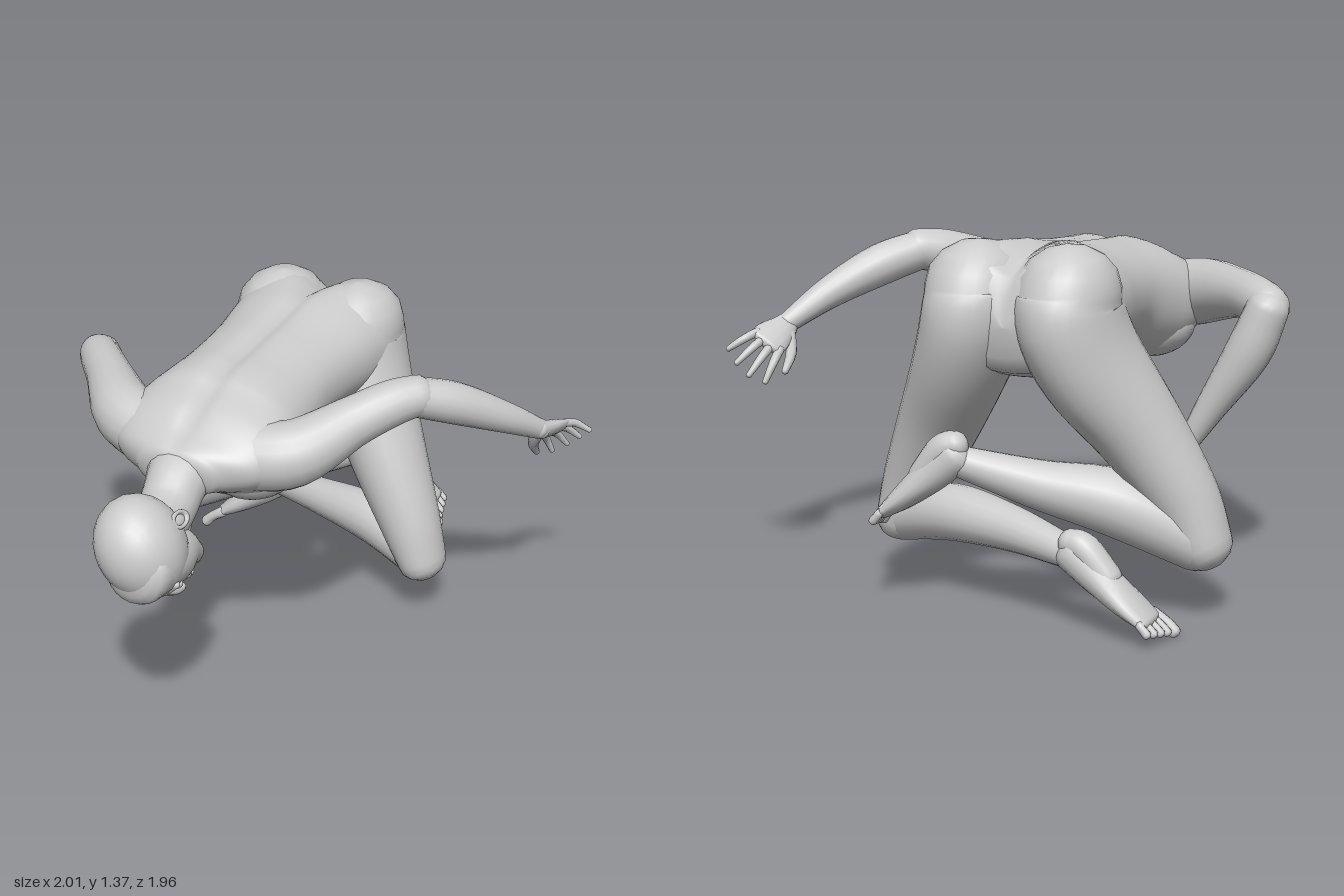
import * as THREE from 'three';

const mat = new THREE.MeshStandardMaterial({ color: 0xcccccc });
const V = (x, y, z) => new THREE.Vector3(x, y, z);
const soften = (v, p) => Math.sign(v) * Math.abs(v) ** p;

// Rounded loft: stations are [x, y, z, halfWidth, halfDepth]; width follows the side vector
function loft(name, stations, side, { seg = 18, steps = 5, cap = 0.8, power = 1, shape } = {}) {
  const path = new THREE.CatmullRomCurve3(stations.map(s => V(s[0], s[1], s[2])), false, 'catmullrom');
  const size = new THREE.CatmullRomCurve3(stations.map(s => V(s[3], s[4] ?? s[3], 0)), false, 'catmullrom');
  const rings = [];
  const addRing = (t, shift, k) => {
    const T = path.getTangent(t), r = size.getPoint(t);
    const U = side.clone().addScaledVector(T, -side.dot(T)).normalize();
    const W = T.clone().cross(U);
    const c = path.getPoint(t).addScaledVector(T, shift * cap * Math.min(r.x, r.y));
    const ring = [];
    for (let j = 0; j < seg; j++) {
      const a = j / seg * Math.PI * 2;
      const p = c.clone().addScaledVector(U, soften(Math.cos(a), power) * r.x * k)
        .addScaledVector(W, soften(Math.sin(a), power) * r.y * k);
      if (shape) shape(p);
      ring.push(p);
    }
    rings.push(ring);
  };
  for (let i = 4; i > 0; i--) addRing(0, -Math.sin(i * Math.PI / 8), Math.cos(i * Math.PI / 8) + 1e-3);
  const n = (stations.length - 1) * steps;
  for (let i = 0; i <= n; i++) addRing(i / n, 0, 1);
  for (let i = 1; i <= 4; i++) addRing(1, Math.sin(i * Math.PI / 8), Math.cos(i * Math.PI / 8) + 1e-3);
  const index = [];
  for (let i = 0; i < rings.length - 1; i++) for (let j = 0; j < seg; j++) {
    const a = i * seg + j, b = i * seg + (j + 1) % seg;
    index.push(a, b, b + seg, a, b + seg, a + seg);
  }
  const g = new THREE.BufferGeometry().setFromPoints(rings.flat());
  g.setIndex(index);
  g.computeVertexNormals();
  const m = new THREE.Mesh(g, mat);
  m.name = name;
  return m;
}

function ellipsoid(name, p, r) {
  const g = new THREE.SphereGeometry(1, 24, 16).scale(...r);
  const m = new THREE.Mesh(g, mat);
  m.position.set(...p);
  m.name = name;
  return m;
}

// Hand with palm, four spread fingers and a thumb on the +across side
function hand(name, wrist, dir, across, curl) {
  const g = new THREE.Group();
  g.name = name;
  const d = dir.clone().normalize();
  const w = across.clone().addScaledVector(d, -across.dot(d)).normalize();
  const n = d.clone().cross(w).multiplyScalar(curl);
  const at = (a, b, c = 0) => wrist.clone().addScaledVector(d, a).addScaledVector(w, b).addScaledVector(n, c).toArray();
  g.add(loft('palm', [[...at(-0.03, 0), 0.038, 0.035], [...at(0.04, 0.004), 0.058, 0.032],
    [...at(0.1, 0), 0.072, 0.027], [...at(0.145, 0), 0.07, 0.022]], w, { seg: 14, steps: 3 }));
  [[0.055, 0.115], [0.02, 0.14], [-0.018, 0.13], [-0.053, 0.1]].forEach(([o, len]) => {
    g.add(loft('finger', [[...at(0.13, o), 0.018], [...at(0.145 + len * 0.45, o * 1.35, 0.012), 0.016],
      [...at(0.14 + len, o * 1.75, 0.055), 0.011]], w, { seg: 8, steps: 3 }));
  });
  g.add(loft('thumb', [[...at(0.03, 0.03), 0.027], [...at(0.085, 0.09, 0.02), 0.022],
    [...at(0.16, 0.122, 0.045), 0.013]], n.clone().normalize(), { seg: 8, steps: 3 }));
  return g;
}

// Foot lying sole up, toes along dir, big toe towards +z
function foot(name, ankle, dir) {
  const g = new THREE.Group();
  g.name = name;
  const d = dir.clone().normalize(), z = V(0, 0, 1);
  const sole = V(-d.y, d.x, 0).multiplyScalar(Math.sign(d.x));
  const at = (a, b, c = 0) => ankle.clone().addScaledVector(d, a).addScaledVector(sole, b).addScaledVector(z, c).toArray();
  g.add(loft('instep', [[...at(-0.02, 0.005), 0.06, 0.07], [...at(0.1, 0), 0.07, 0.066],
    [...at(0.24, -0.005), 0.088, 0.048], [...at(0.34, -0.005), 0.09, 0.028]], z, { seg: 16 }));
  g.add(loft('heel', [[...at(-0.05, 0.03), 0.048, 0.05], [...at(0.01, 0.048), 0.058, 0.056],
    [...at(0.14, 0.018), 0.058, 0.052]], z));
  for (let i = 0; i < 5; i++) {
    const o = 0.068 - i * 0.035, r = i ? 0.017 : 0.025, end = 0.43 - i * 0.014;
    g.add(loft('toe', [[...at(0.33, -0.005, o), r], [...at(end - 0.04, -0.004, o * 1.1), r * 0.9],
      [...at(end, -0.012, o * 1.12), r]], z, { seg: 8, steps: 3 }));
  }
  return g;
}

// Head in its own frame: +y to the crown, +z to the face
function head() {
  const g = new THREE.Group();
  g.name = 'head';
  const X = V(1, 0, 0);
  g.add(ellipsoid('skull', [0, 0.015, 0], [0.168, 0.175, 0.2]));
  g.add(loft('face', [[0, 0.09, 0.06, 0.138, 0.132], [0, -0.04, 0.085, 0.138, 0.117],
    [0, -0.14, 0.1, 0.112, 0.1], [0, -0.215, 0.14, 0.07, 0.055]], X, { seg: 24, cap: 0.5 }));
  g.add(loft('nose', [[0, 0.02, 0.185, 0.016], [0, -0.045, 0.212, 0.022], [0, -0.075, 0.217, 0.034, 0.022]], X, { seg: 10 }));
  g.add(loft('brow', [[-0.085, 0.03, 0.17, 0.016], [0, 0.025, 0.19, 0.015], [0.085, 0.03, 0.17, 0.016]], V(0, 1, 0), { seg: 10 }));
  [-0.126, -0.144].forEach((y, i) => g.add(ellipsoid(i ? 'lowerLip' : 'upperLip', [0, y, 0.193], [0.042, 0.011, 0.018])));
  for (const s of [-1, 1]) {
    g.add(ellipsoid('eye', [s * 0.058, -0.008, 0.18], [0.026, 0.014, 0.02]));
    const ear = new THREE.Group();
    ear.name = 'ear';
    const rim = new THREE.Mesh(new THREE.TorusGeometry(0.033, 0.01, 8, 18).scale(0.8, 1.35, 1), mat);
    rim.name = 'earRim';
    ear.add(rim, ellipsoid('earBowl', [0, 0, -0.008], [0.026, 0.042, 0.012]));
    ear.position.set(s * 0.152, -0.065, -0.035);
    ear.rotation.y = s * (Math.PI / 2 + 0.1);
    g.add(ear);
  }
  // face turned down and a little to the left
  const face = V(0.46, -0.888, 0).normalize(), up = V(0, 0, 1);
  g.quaternion.setFromRotationMatrix(new THREE.Matrix4().makeBasis(up.clone().cross(face), up, face));
  g.position.set(-0.142, 0.855, 0.79);
  return g;
}

export function createModel() {
  const model = new THREE.Group();
  model.name = 'kneelingFigure';
  const X = V(1, 0, 0), Y = V(0, 1, 0), Z = V(0, 0, 1), mid = -0.19;

  // Torso with a groove along the spine that widens into the cleft at the hips
  const spine = p => {
    const dx = p.x - mid, hip = THREE.MathUtils.smoothstep(-p.z, 0.5, 0.8);
    const upper = THREE.MathUtils.smoothstep(p.y, 1.05, 1.2);
    p.y -= upper * (0.028 * Math.exp(-((dx / 0.035) ** 2)) + 0.06 * hip * Math.exp(-((dx / 0.09) ** 2)));
  };
  model.add(loft('torso', [
    [mid, 1.12, -0.84, 0.31, 0.215], [mid, 1.12, -0.72, 0.355, 0.25], [mid, 1.115, -0.56, 0.342, 0.235],
    [mid, 1.105, -0.38, 0.315, 0.215], [mid, 1.09, -0.2, 0.305, 0.213], [mid, 1.045, -0.02, 0.328, 0.246],
    [mid, 1.02, 0.14, 0.358, 0.243], [mid, 1.02, 0.28, 0.365, 0.19], [mid, 1.01, 0.39, 0.3, 0.125],
    [mid, 0.995, 0.46, 0.18, 0.1]
  ], X, { seg: 64, power: 0.92, cap: 0.35, shape: spine }));
  model.add(loft('neck', [[mid, 1.0, 0.36, 0.19, 0.11], [-0.18, 0.965, 0.47, 0.125, 0.115],
    [-0.165, 0.9, 0.58, 0.112, 0.108], [-0.155, 0.865, 0.7, 0.115, 0.12]], X));
  model.add(head());
  for (const s of [-1, 1])
    model.add(ellipsoid('chestMuscle', [mid + s * 0.16, 0.925, 0.14], [0.18, 0.13, 0.2]));

  // Legs, each thigh rising into the buttock
  model.add(loft('leftThigh', [[-0.015, 1.2, -0.735, 0.185, 0.215], [-0.01, 1.1, -0.735, 0.19, 0.248],
    [0.055, 0.93, -0.7, 0.18, 0.235], [0.19, 0.67, -0.625, 0.158, 0.18], [0.315, 0.42, -0.58, 0.128, 0.14],
    [0.385, 0.245, -0.57, 0.1, 0.12]], X, { seg: 28, cap: 0.88 }));
  model.add(loft('rightThigh', [[-0.365, 1.2, -0.735, 0.185, 0.215], [-0.37, 1.1, -0.735, 0.19, 0.248],
    [-0.44, 0.93, -0.7, 0.18, 0.235], [-0.595, 0.69, -0.625, 0.158, 0.18], [-0.745, 0.45, -0.58, 0.132, 0.14],
    [-0.825, 0.275, -0.57, 0.106, 0.12]], X, { seg: 28, cap: 0.88 }));
  model.add(loft('leftShin', [[0.375, 0.255, -0.58, 0.1], [0.13, 0.315, -0.67, 0.108], [-0.15, 0.31, -0.76, 0.085],
    [-0.4, 0.28, -0.85, 0.06], [-0.45, 0.27, -0.865, 0.056]], Y));
  model.add(loft('rightShin', [[-0.81, 0.285, -0.58, 0.11], [-0.54, 0.42, -0.67, 0.125], [-0.27, 0.485, -0.76, 0.092],
    [-0.03, 0.555, -0.84, 0.063], [0.03, 0.575, -0.86, 0.056]], Y));
  model.add(foot('leftFoot', V(-0.45, 0.27, -0.875), V(-0.36, -0.25, 0)));
  model.add(foot('rightFoot', V(0.03, 0.58, -0.872), V(0.36, -0.29, 0)));

  // Arms
  model.add(loft('leftUpperArm', [[0.02, 1.02, 0.27, 0.135], [0.18, 1.045, 0.21, 0.13], [0.33, 1.135, 0.05, 0.1],
    [0.44, 1.19, -0.07, 0.09], [0.52, 1.21, -0.15, 0.08]], Y));
  model.add(loft('leftForearm', [[0.5, 1.21, -0.13, 0.077], [0.63, 1.155, -0.26, 0.082], [0.77, 1.06, -0.42, 0.062],
    [0.87, 0.96, -0.58, 0.04]], Y));
  model.add(hand('leftHand', V(0.87, 0.96, -0.58), V(0.025, -0.1, -0.26), V(-0.75, -0.6, 0.1), -1));
  model.add(loft('rightUpperArm', [[-0.4, 1.02, 0.27, 0.135], [-0.56, 1.055, 0.22, 0.128], [-0.75, 1.09, 0.03, 0.095],
    [-0.87, 1.09, -0.1, 0.086], [-0.93, 1.08, -0.17, 0.08]], Y));
  model.add(loft('rightForearm', [[-0.93, 1.08, -0.185, 0.08], [-0.86, 0.91, -0.195, 0.086], [-0.73, 0.7, -0.21, 0.06],
    [-0.64, 0.55, -0.22, 0.04]], Z));
  model.add(hand('rightHand', V(-0.64, 0.54, -0.215), V(0.14, -0.25, 0.005), V(0.3, 0.15, 1), 1));
  return model;
}
